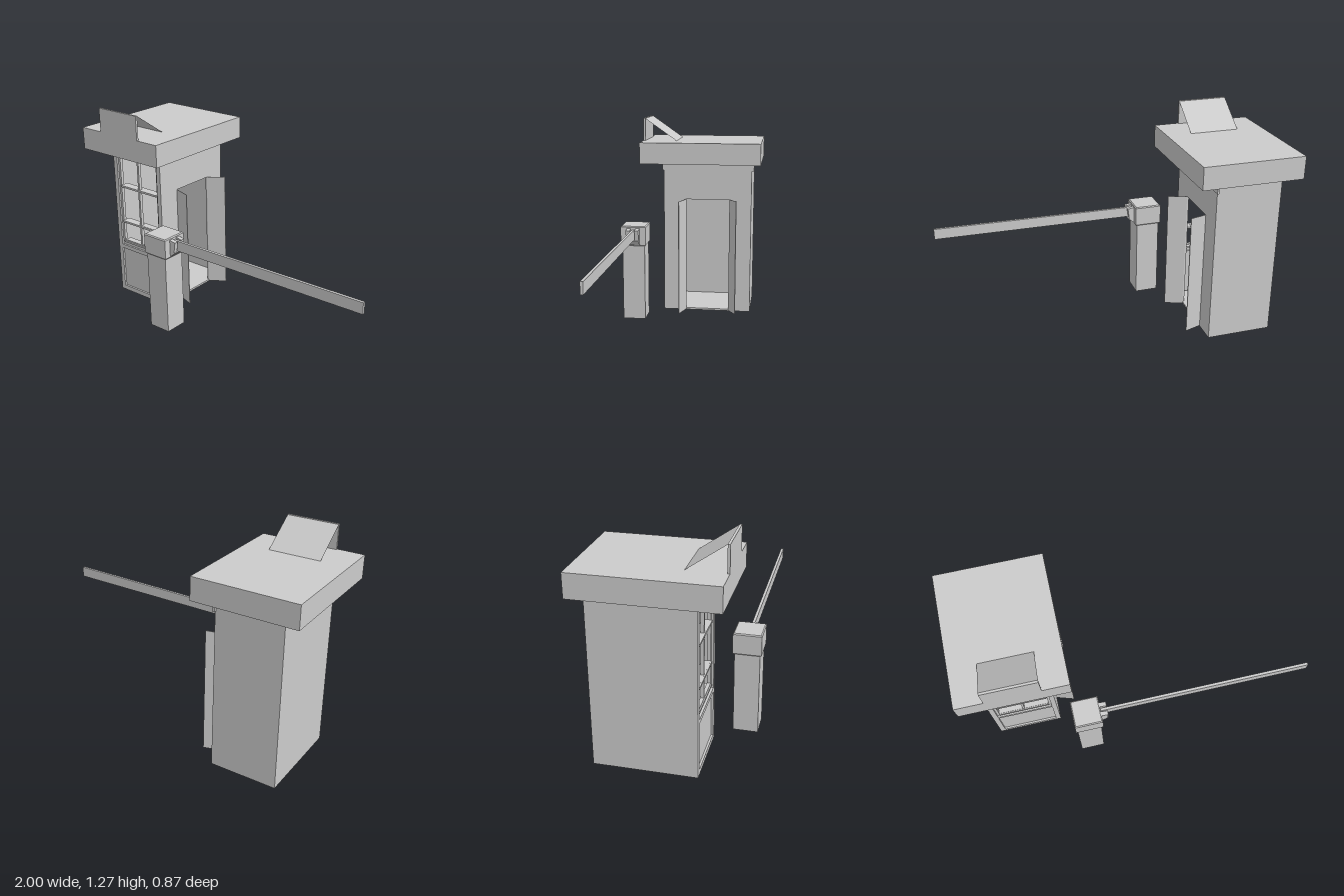
import * as THREE from 'three';

const material = new THREE.MeshStandardMaterial({ color: 0xcccccc, flatShading: true });
const thin = new THREE.MeshStandardMaterial({ color: 0xcccccc, flatShading: true, side: THREE.DoubleSide });

function add(group, name, geometry, mat = material) {
  const mesh = new THREE.Mesh(geometry, mat);
  mesh.name = name;
  group.add(mesh);
  return mesh;
}

// Box given by its limits on each axis
function block(group, name, [x0, x1], [y0, y1], [z0, z1]) {
  const mesh = add(group, name, new THREE.BoxGeometry(x1 - x0, y1 - y0, z1 - z0));
  mesh.position.set((x0 + x1) / 2, (y0 + y1) / 2, (z0 + z1) / 2);
  return mesh;
}

const rect = (Type, x0, x1, y0, y1) => new Type([[x0, y0], [x1, y0], [x1, y1], [x0, y1]]
  .map(([x, y]) => new THREE.Vector2(x, y)));

// Flat panel in the xy plane with rectangular holes
function panel(limits, holes, depth) {
  const shape = rect(THREE.Shape, ...limits);
  shape.holes = holes.map((h) => rect(THREE.Path, ...h));
  return new THREE.ExtrudeGeometry(shape, { depth, bevelEnabled: false });
}

// Profile in the xy plane, extruded from z0 to z1
function profile(points, z0, z1) {
  const shape = new THREE.Shape(points.map(([x, y]) => new THREE.Vector2(x, y)));
  return new THREE.ExtrudeGeometry(shape, { depth: z1 - z0, bevelEnabled: false }).translate(0, 0, z0);
}

function createBooth() {
  const booth = new THREE.Group();
  booth.name = 'booth';
  const t = 0.012, left = -0.9, right = -0.505, back = -0.375, front = 0.195;

  // Shell
  block(booth, 'floor', [left, right], [0, t], [back, front - 0.02]);
  block(booth, 'backWall', [left, right], [0, 0.99], [back, back + t]);
  block(booth, 'sideWall', [left, left + t], [0, 0.99], [back, front - 0.02]);

  // Front wall with window and lower panel openings
  add(booth, 'frontWall', panel([left, right, 0, 0.99],
    [[-0.87, -0.535, 0.33, 0.96], [-0.87, -0.535, 0.03, 0.305]], 0.02)).position.z = front - 0.02;
  block(booth, 'lowerPanel', [-0.88, -0.525], [0.02, 0.315], [front - 0.032, front - 0.012]);

  // Six-pane sash with deep horizontal bars
  const panes = [];
  for (const [x0, x1] of [[-0.855, -0.71], [-0.697, -0.55]]) {
    for (const [y0, y1] of [[0.365, 0.487], [0.5, 0.728], [0.74, 0.94]]) panes.push([x0, x1, y0, y1]);
  }
  add(booth, 'windowSash', panel([-0.88, -0.525, 0.32, 0.97], panes, 0.02)).position.z = front - 0.032;
  for (const y of [0.355, 0.4935, 0.734]) {
    block(booth, 'windowBar', [-0.855, -0.55], [y - 0.006, y + 0.006], [front - 0.06, front - 0.005]);
  }

  // Door wall, its shape drawn with x running along -z
  const doorWall = add(booth, 'doorWall', panel([-front + 0.02, -back, 0, 0.99], [[-0.05, 0.235, t, 0.75]], t));
  doorWall.rotation.y = Math.PI / 2;
  doorWall.position.x = right - t;

  // Two open door leaves, splayed outward
  for (const [name, hinge, edge, lift] of [['frontDoorLeaf', 0.05, 0.085, 0], ['rearDoorLeaf', -0.235, -0.285, 0.012]]) {
    const length = Math.hypot(0.11, edge - hinge);
    const leaf = add(booth, name, profile([[0, 0.002], [length, 0.002 + lift], [length, 0.75 + lift], [0, 0.75]], -0.002, 0.002));
    leaf.position.set(right, 0, hinge);
    leaf.rotation.y = -Math.atan2(edge - hinge, 0.11);
  }

  // Roof slab and the trim under it
  block(booth, 'doorTrim', [right - 0.005, right + 0.006], [0.94, 0.99], [-0.39, 0.205]);
  block(booth, 'roof', [-1, -0.39], [0.99, 1.125], [-0.435, 0.335]);
  block(booth, 'signBoard', [-0.843, -0.54], [1.12, 1.27], [0.322, 0.335]);

  // Sloping sheet bracing the sign board
  const run = 0.208, rise = 0.145;
  const sheet = add(booth, 'signBrace', new THREE.PlaneGeometry(0.303, Math.hypot(run, rise)), thin);
  sheet.position.set(-0.6915, 1.125 + rise / 2, 0.117 + run / 2);
  sheet.rotation.x = Math.atan2(run, rise);
  return booth;
}

function createBarrier() {
  const barrier = new THREE.Group();
  barrier.name = 'barrier';
  block(barrier, 'post', [-0.41, -0.267], [0, 0.495], [0.284, 0.426]);

  // Head with slightly chamfered top edges
  const head = new THREE.ExtrudeGeometry(rect(THREE.Shape, -0.414, -0.261, 0.281, 0.429), {
    depth: 0.114, bevelThickness: 0.006, bevelSize: 0.006, bevelSegments: 1,
  });
  head.rotateX(Math.PI / 2).scale(1, 1, 1).translate(0, 0.604, 0);
  add(barrier, 'head', head);

  // Forked bracket: sloped base and two prongs
  add(barrier, 'bracketBase', profile([[-0.265, 0.492], [-0.255, 0.492], [-0.215, 0.525], [-0.265, 0.525]], 0.315, 0.395));
  for (const z of [0.315, 0.37]) {
    add(barrier, 'bracketProng', profile(
      [[-0.265, 0.52], [-0.225, 0.52], [-0.215, 0.59], [-0.255, 0.597], [-0.265, 0.597]], z, z + 0.025));
  }

  // Long boom, a little taller toward its tip
  add(barrier, 'boom', profile([[-0.29, 0.525], [1, 0.532], [1, 0.598], [-0.29, 0.588]], 0.347, 0.363));
  return barrier;
}

export function createModel() {
  const model = new THREE.Group();
  model.name = 'barrierBooth';
  model.add(createBooth(), createBarrier());
  return model;
}
